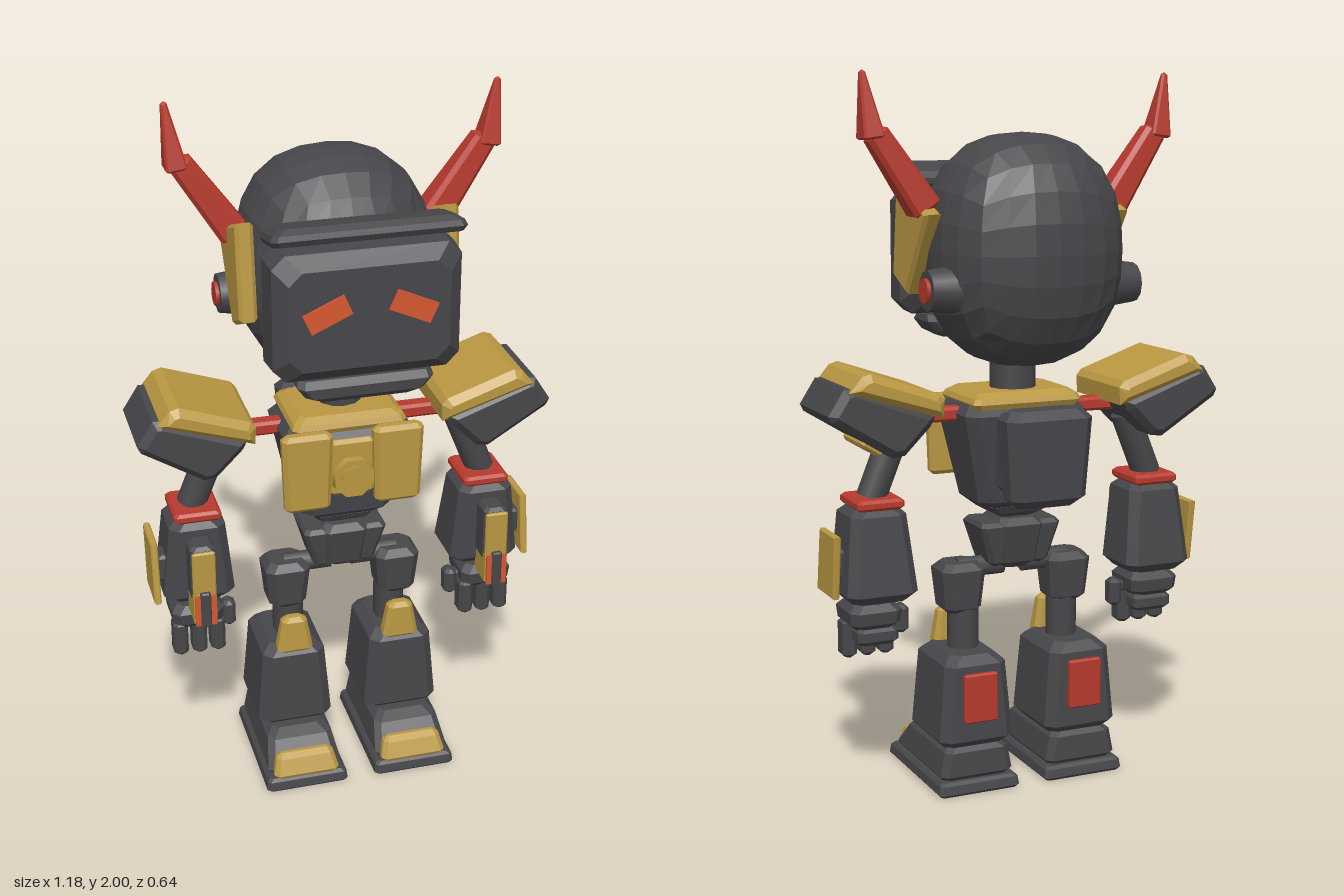
import * as THREE from 'three';

const paint = (name, color) => Object.assign(new THREE.MeshStandardMaterial({ color }), { name });

export function createModel() {
  const dark = paint('charcoal', 0x47474b);
  const gold = paint('gold', 0xba9842);
  const red = paint('red', 0xb73a2e);
  const orange = paint('orange', 0xd6582f);
  const model = new THREE.Group();
  model.name = 'robot';

  function add(parent, name, geometry, material, pos = [0, 0, 0], rot = [0, 0, 0]) {
    const mesh = new THREE.Mesh(geometry, material);
    mesh.name = name;
    mesh.position.set(...pos);
    mesh.rotation.set(...rot);
    parent.add(mesh);
    return mesh;
  }

  // Chamfered block tapering from a bottom [width, depth] to a top one; the top may be shifted in x and z.
  function taper([w0, d0], [w1, d1], h, c = 0.015, shift = [0, 0]) {
    const rings = [[0, c], [c, 0], [h - c, 0], [h, c]].map(([y, inset]) => {
      const t = y / h;
      const a = (w0 + (w1 - w0) * t) / 2 - inset, b = (d0 + (d1 - d0) * t) / 2 - inset;
      const k = Math.min(c, a * 0.8, b * 0.8);
      return [[a, b - k], [a, k - b], [a - k, -b], [k - a, -b], [-a, k - b], [-a, b - k], [k - a, b], [a - k, b]]
        .map(([x, z]) => [x + shift[0] * t, y - h / 2, z + shift[1] * t]);
    });
    const v = [];
    for (let i = 0; i < 3; i++) for (let j = 0; j < 8; j++) {
      const k = (j + 1) % 8, A = rings[i], B = rings[i + 1];
      v.push(...A[j], ...A[k], ...B[k], ...A[j], ...B[k], ...B[j]);
    }
    for (let j = 1; j < 7; j++) {
      v.push(...rings[0][0], ...rings[0][j + 1], ...rings[0][j]);
      v.push(...rings[3][0], ...rings[3][j], ...rings[3][j + 1]);
    }
    const g = new THREE.BufferGeometry();
    g.setAttribute('position', new THREE.Float32BufferAttribute(v, 3));
    g.computeVertexNormals();
    return g;
  }
  const box = (w, h, d, c) => taper([w, d], [w, d], h, c);

  // Bevelled plate with a given outline, centred on its thickness
  function plate(points, thickness, b = 0.012) {
    const shape = new THREE.Shape(points.map(([x, y]) => new THREE.Vector2(x, y)));
    return new THREE.ExtrudeGeometry(shape, {
      depth: thickness - 2 * b, bevelEnabled: true, bevelThickness: b, bevelSize: b, bevelOffset: -b, bevelSegments: 1,
    }).translate(0, 0, b - thickness / 2);
  }

  // Tapered block or cylinder running between two points in the xy plane
  function between(parent, name, geometry, material, a, b, z) {
    add(parent, name, geometry, material, [(a[0] + b[0]) / 2, (a[1] + b[1]) / 2, z],
      [0, 0, Math.atan2(b[1] - a[1], b[0] - a[0]) - Math.PI / 2]);
  }

  // Skull: a subdivided cube swollen into a squarish ellipsoid
  let skull = new THREE.BoxGeometry(2, 2, 2, 6, 6, 6);
  const p = skull.attributes.position;
  for (let i = 0; i < p.count; i++) {
    const q = [p.getX(i), p.getY(i), p.getZ(i)].map((n) => Math.tan(n * Math.PI / 4));
    const len = Math.pow(q.reduce((s, n) => s + Math.pow(Math.abs(n), 2.4), 0), 1 / 2.4);
    p.setXYZ(i, q[0] / len * 0.27, q[1] / len * 0.32, q[2] / len * 0.25);
  }
  skull = skull.toNonIndexed();
  skull.computeVertexNormals();
  add(model, 'skull', skull, dark, [0, 1.52, -0.07]);

  // Face, brow and chin
  add(model, 'face', taper([0.52, 0.36], [0.5, 0.345], 0.155, 0.035), dark, [0, 1.505, 0.235], [Math.PI / 2, 0, 0]);
  add(model, 'brow', taper([0.53, 0.165], [0.49, 0.15], 0.045, 0.015), dark, [0, 1.72, 0.235], [-0.22, 0, 0]);
  add(model, 'chin', taper([0.3, 0.14], [0.4, 0.15], 0.065, 0.018), dark, [0, 1.29, 0.215]);

  // Neck and trunk
  add(model, 'neck', new THREE.CylinderGeometry(0.065, 0.065, 0.16, 12), dark, [0, 1.18, -0.01]);
  add(model, 'chest', taper([0.25, 0.19], [0.38, 0.27], 0.31, 0.03), dark, [0, 0.945, 0]);
  add(model, 'collar', taper([0.34, 0.27], [0.3, 0.23], 0.045), gold, [0, 1.11, 0]);
  add(model, 'chestCentre', box(0.13, 0.17, 0.03, 0.01), gold, [0, 0.985, 0.13]);
  add(model, 'chestDisc', new THREE.CylinderGeometry(0.06, 0.065, 0.04, 8).toNonIndexed(), gold,
    [0, 0.96, 0.145], [Math.PI / 2, Math.PI / 8, 0]);
  add(model, 'chestHub', new THREE.CylinderGeometry(0.04, 0.04, 0.01, 8), gold, [0, 0.96, 0.167], [Math.PI / 2, 0, 0]);
  add(model, 'backMount', box(0.2, 0.22, 0.08), dark, [0, 0.97, -0.14]);
  add(model, 'backpack', taper([0.22, 0.1], [0.26, 0.115], 0.27, 0.025), dark, [0, 0.965, -0.222]);
  add(model, 'waist', new THREE.CylinderGeometry(0.05, 0.05, 0.1, 12), dark, [0, 0.78, 0]);
  add(model, 'belly', taper([0.13, 0.12], [0.21, 0.17], 0.05), dark, [0, 0.79, 0]);
  add(model, 'pelvis', taper([0.12, 0.12], [0.15, 0.18], 0.15, 0.02), dark, [0, 0.69, 0]);

  // Everything that comes in pairs is built on the left and mirrored
  for (const [label, s] of [['left', 1], ['right', -1]]) {
    const side = new THREE.Group();
    side.name = label + 'Side';
    side.scale.x = s;
    model.add(side);
    const put = (...args) => add(side, ...args);

    // Head fittings
    put('eye', new THREE.BoxGeometry(0.12, 0.058, 0.009), orange, [0.115, 1.525, 0.315], [0, 0, -0.42]);
    put('templePlate', plate([[-0.13, 1.445], [-0.03, 1.4], [0.127, 1.625], [-0.095, 1.71]], 0.05, 0.01), gold,
      [0.28, 0, 0], [0, Math.PI / 2, 0]);
    put('earDisc', new THREE.CylinderGeometry(0.055, 0.068, 0.1, 12), dark, [0.26, 1.425, -0.14], [0, 0, -Math.PI / 2]);
    put('earCentre', new THREE.CylinderGeometry(0.034, 0.034, 0.02, 12), red, [0.31, 1.425, -0.14], [0, 0, -Math.PI / 2]);
    between(side, 'hornBase', taper([0.085, 0.09], [0.065, 0.06], 0.26, 0.012), red, [0.275, 1.63], [0.422, 1.845], -0.05);
    between(side, 'hornTip', taper([0.06, 0.078], [0.016, 0.016], 0.18, 0.006), red, [0.428, 1.825], [0.452, 2.0], -0.05);

    // Chest plate and hip skirt
    put('chestPlate', taper([0.13, 0.04], [0.145, 0.045], 0.235, 0.012), gold, [0.13, 0.985, 0.14]);
    put('hipSkirt', taper([0.045, 0.12], [0.08, 0.16], 0.13, 0.012, [0.02, 0]), dark, [0.065, 0.69, 0]);

    // Shoulder
    put('shoulderRod', box(0.2, 0.04, 0.05, 0.008), red, [0.24, 1.068, -0.01]);
    put('shoulderPad', plate([[0.285, 1.09], [0.3, 1.06], [0.375, 0.985], [0.41, 0.98], [0.58, 1.085], [0.59, 1.105],
      [0.545, 1.175], [0.52, 1.175]], 0.28, 0.02), dark, [0, 0, -0.018]);
    put('shoulderCap', plate([[0.268, 1.08], [0.535, 1.165], [0.5, 1.207], [0.475, 1.215], [0.28, 1.148], [0.265, 1.13]],
      0.31, 0.02), gold, [0, 0, -0.018]);
    put('shoulderVent', box(0.07, 0.03, 0.16, 0.008), gold, [0.45, 1.005, -0.02], [0, 0, 0.55]);

    // Arm
    between(side, 'upperArm', new THREE.CylinderGeometry(0.042, 0.042, 0.2, 10), dark, [0.43, 0.85], [0.355, 1.035], -0.015);
    put('elbowBand', box(0.135, 0.03, 0.16, 0.008), red, [0.425, 0.842, -0.012]);
    put('forearm', taper([0.21, 0.2], [0.155, 0.165], 0.265, 0.025, [0, 0.015]), dark, [0.427, 0.703, -0.022]);
    put('sidePlateMount', box(0.06, 0.08, 0.07, 0.008), dark, [0.515, 0.675, 0]);
    put('sidePlate', plate([[-0.075, 0.585], [0.06, 0.585], [0.085, 0.765], [-0.045, 0.765]], 0.02, 0.004), gold,
      [0.55, 0, 0], [0, Math.PI / 2, 0]);
    put('blasterMount', box(0.07, 0.17, 0.08, 0.01), dark, [0.43, 0.705, 0.105]);
    put('blasterCover', box(0.066, 0.15, 0.014, 0.004), gold, [0.43, 0.705, 0.15]);
    put('blasterBody', box(0.066, 0.1, 0.1, 0.008), gold, [0.43, 0.6, 0.113]);
    put('blasterTrim', new THREE.BoxGeometry(0.06, 0.095, 0.008), orange, [0.43, 0.6, 0.162]);
    put('blasterBarrel', box(0.03, 0.11, 0.02, 0.004), dark, [0.43, 0.602, 0.16]);

    // Hand
    put('wrist', new THREE.CylinderGeometry(0.055, 0.055, 0.06, 10), dark, [0.43, 0.56, -0.01]);
    put('palm', taper([0.14, 0.15], [0.155, 0.165], 0.075, 0.02), dark, [0.435, 0.522, 0]);
    for (const x of [0.378, 0.432, 0.487]) put('finger', box(0.042, 0.11, 0.06, 0.01), dark, [x, 0.448, 0.035]);
    put('heelOfHand', box(0.12, 0.05, 0.07, 0.012), dark, [0.43, 0.468, -0.035]);
    put('thumb', box(0.038, 0.08, 0.05, 0.01), dark, [0.338, 0.493, 0.01]);
    put('thumbJoint', box(0.05, 0.03, 0.035, 0.006), dark, [0.36, 0.51, 0.01]);

    // Leg
    put('hipJoint', new THREE.CylinderGeometry(0.03, 0.03, 0.14, 8), dark, [0.1, 0.62, 0], [0, 0, Math.PI / 2]);
    put('thigh', taper([0.105, 0.11], [0.135, 0.13], 0.15, 0.02), dark, [0.165, 0.567, 0]);
    put('kneeRod', new THREE.CylinderGeometry(0.045, 0.045, 0.18, 10), dark, [0.155, 0.45, -0.01]);
    put('kneeGuard', taper([0.11, 0.055], [0.07, 0.045], 0.115, 0.012), gold, [0.16, 0.433, 0.085]);
    put('shin', taper([0.225, 0.265], [0.18, 0.245], 0.265, 0.025), dark, [0.162, 0.262, -0.012]);
    put('calfPlate', box(0.1, 0.14, 0.02, 0.004), red, [0.162, 0.282, -0.152]);

    // Foot
    put('sole', taper([0.245, 0.415], [0.235, 0.4], 0.04, 0.008), dark, [0.163, 0.02, 0.052]);
    put('foot', taper([0.225, 0.385], [0.185, 0.29], 0.105, 0.018, [0, -0.045]), dark, [0.163, 0.087, 0.053]);
    put('toeCap', taper([0.2, 0.06], [0.165, 0.035], 0.068, 0.012, [0, -0.02]), gold, [0.163, 0.07, 0.228]);
  }
  return model;
}
